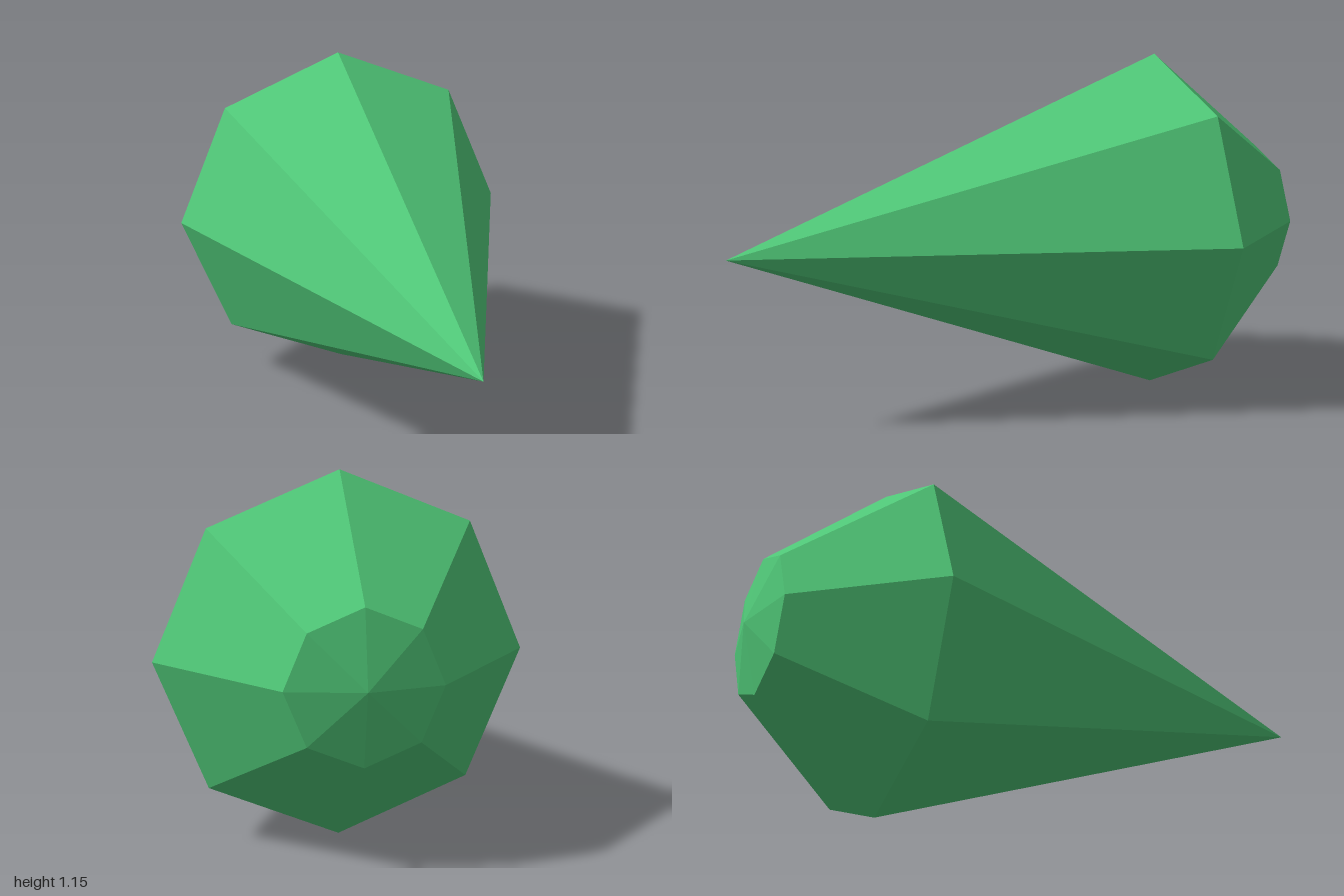
import * as THREE from 'three';

export function createModel() {
  const group = new THREE.Group();
  group.name = 'gem';

  const emerald = new THREE.MeshStandardMaterial({ color: 0x50c878 });
  emerald.name = 'emerald green';
  emerald.flatShading = true;

  // Eight-sided sections, from the back of the gem to its point
  const sections = {
    crownCap: [[0, -1], [0.238, -0.95]],
    crown: [[0.238, -0.95], [0.573, -0.54]],
    pavilion: [[0.573, -0.54], [0, 1]],
  };

  for (const [name, profile] of Object.entries(sections)) {
    const geometry = new THREE.LatheGeometry(profile.map(([r, z]) => new THREE.Vector2(r, z)), 8);
    geometry.rotateX(Math.PI / 2);

    // The point sits slightly off the axis
    const position = geometry.attributes.position;
    for (let i = 0; i < position.count; i++) {
      if (position.getZ(i) > 0.9) position.setX(i, 0.018);
    }
    geometry.computeVertexNormals();

    const mesh = new THREE.Mesh(geometry, emerald);
    mesh.name = name;
    mesh.position.y = 0.575;
    group.add(mesh);
  }
  return group;
}
